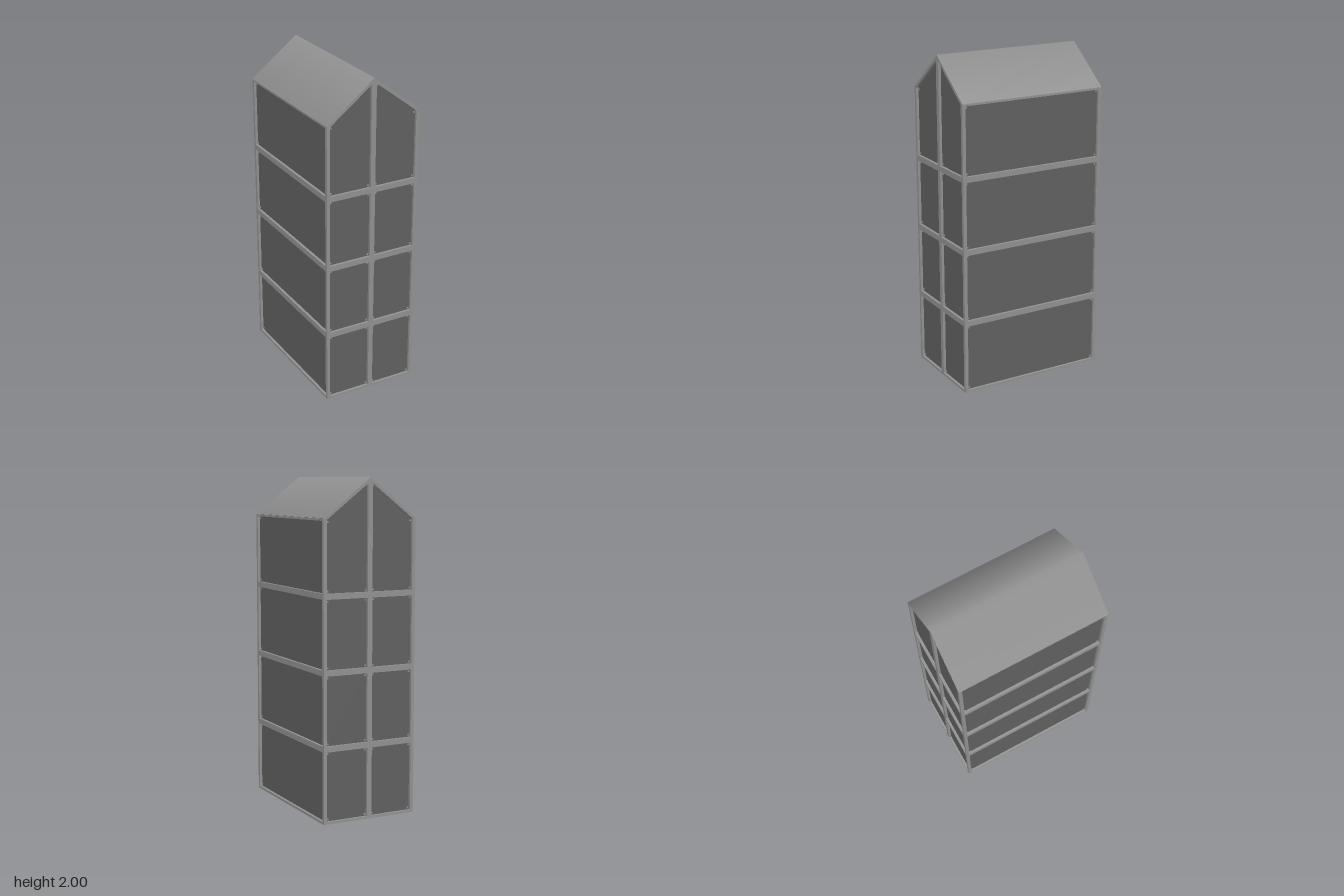
import * as THREE from 'three';

const HX = 0.3, HZ = 0.468, EAVE = 1.77, TOP = 2;
const POST = 0.02;                 // frame width at the corners, also its depth
const SLOPE = (TOP - EAVE) / HX;
// bottom and top of each storey opening
const STOREYS = [[0.015, 0.428], [0.462, 0.871], [0.905, 1.311], [1.345, 1.755]];

export function createModel() {
  const frameGrey = new THREE.MeshStandardMaterial({ color: 0x919191 });
  frameGrey.name = 'frameGrey';
  const panelGrey = new THREE.MeshStandardMaterial({ color: 0x606060 });
  panelGrey.name = 'panelGrey';

  const group = new THREE.Group();
  group.name = 'tower';

  const add = (parent, geometry, material, name, x = 0, y = 0, z = 0) => {
    const mesh = new THREE.Mesh(geometry, material);
    mesh.name = name;
    mesh.position.set(x, y, z);
    parent.add(mesh);
  };
  const points = (list) => list.map(([x, y]) => new THREE.Vector2(x, y));
  const extrude = (shape, depth) => new THREE.ExtrudeGeometry(shape, { depth, bevelEnabled: false });

  // One wall, built facing +z with its outer face at z = 0
  function makeWall(name, outline, openings, halfWidth, mullion) {
    const wall = new THREE.Group();
    wall.name = name;

    const frame = new THREE.Shape(points(outline));
    openings.forEach((o) => frame.holes.push(new THREE.Path(points(o))));
    add(wall, extrude(frame, POST), frameGrey, 'wallFrame', 0, 0, -POST);

    // Recessed panels, one per opening
    openings.forEach((o) => {
      add(wall, extrude(new THREE.Shape(points(o)), 0.004), panelGrey, 'panel', 0, 0, -POST);
      // Small clips in the lower and upper corners
      o.forEach(([x, y]) => {
        const cx = o.reduce((s, p) => s + p[0], 0) / o.length;
        const cy = o.reduce((s, p) => s + p[1], 0) / o.length;
        add(wall, new THREE.BoxGeometry(0.009, 0.009, 0.006), frameGrey, 'cornerClip',
          x + Math.sign(cx - x) * 0.01, y + Math.sign(cy - y) * 0.012, -0.014);
      });
    });

    // Ribs on the inside
    for (let i = 0; i < 3; i++) {
      const low = STOREYS[i][1], high = STOREYS[i + 1][0];
      add(wall, new THREE.BoxGeometry(2 * (halfWidth - POST), high - low, 0.016), frameGrey,
        'innerRib', 0, (low + high) / 2, -0.027);
    }
    if (mullion) {
      add(wall, new THREE.BoxGeometry(0.03, 1.95, 0.016), frameGrey, 'innerMullion', 0, 0.975, -0.027);
    }
    group.add(wall);
    return wall;
  }

  // Gable walls: two columns of openings, the top pair following the roof
  const gable = [[-HX, 0], [HX, 0], [HX, EAVE - 0.003], [0, TOP - 0.003], [-HX, EAVE - 0.003]];
  const gableOpenings = [];
  for (const s of [1, -1]) {
    STOREYS.forEach(([low, high], i) => {
      const a = 0.015, b = HX - POST;
      const roofAt = (x) => TOP - 0.025 - SLOPE * x;
      const yb = i === 3 ? roofAt(b) : high;
      const ya = i === 3 ? roofAt(a) : high;
      gableOpenings.push([[s * a, low], [s * b, low], [s * b, yb], [s * a, ya]]);
    });
  }
  makeWall('frontWall', gable, gableOpenings, HX, true).position.z = HZ;
  const back = makeWall('backWall', gable, gableOpenings, HX, true);
  back.position.z = -HZ;
  back.rotation.y = Math.PI;

  // Long side walls: one wide opening per storey
  const side = [[-HZ, 0], [HZ, 0], [HZ, EAVE - 0.003], [-HZ, EAVE - 0.003]];
  const w = HZ - POST;
  const sideOpenings = STOREYS.map(([low, high]) => [[-w, low], [w, low], [w, high], [-w, high]]);
  for (const s of [1, -1]) {
    const wall = makeWall(s > 0 ? 'leftWall' : 'rightWall', side, sideOpenings, HZ, false);
    wall.position.x = s * HX;
    wall.rotation.y = s * Math.PI / 2;
  }

  // Roof: outer and inner sheets with softly shaded slopes, closed at the edges
  const profile = [[-HX, EAVE, -0.85, 0.53], [0, TOP, 0, 1], [HX, EAVE, 0.85, 0.53]];
  const position = [], normal = [], index = [];
  for (const [drop, sign] of [[0, 1], [0.02, -1]]) {
    const base = position.length / 3;
    for (const [x, y, nx, ny] of profile) {
      for (const z of [HZ, -HZ]) {
        position.push(x, y - drop, z);
        normal.push(nx * sign, ny * sign, 0);
      }
    }
    for (let i = 0; i < 2; i++) {
      const a = base + i * 2;
      if (sign > 0) index.push(a, a + 2, a + 1, a + 1, a + 2, a + 3);
      else index.push(a, a + 1, a + 2, a + 1, a + 3, a + 2);
    }
  }
  const roof = new THREE.BufferGeometry();
  roof.setAttribute('position', new THREE.Float32BufferAttribute(position, 3));
  roof.setAttribute('normal', new THREE.Float32BufferAttribute(normal, 3));
  roof.setIndex(index);
  add(group, roof, frameGrey, 'roof');

  return group;
}
